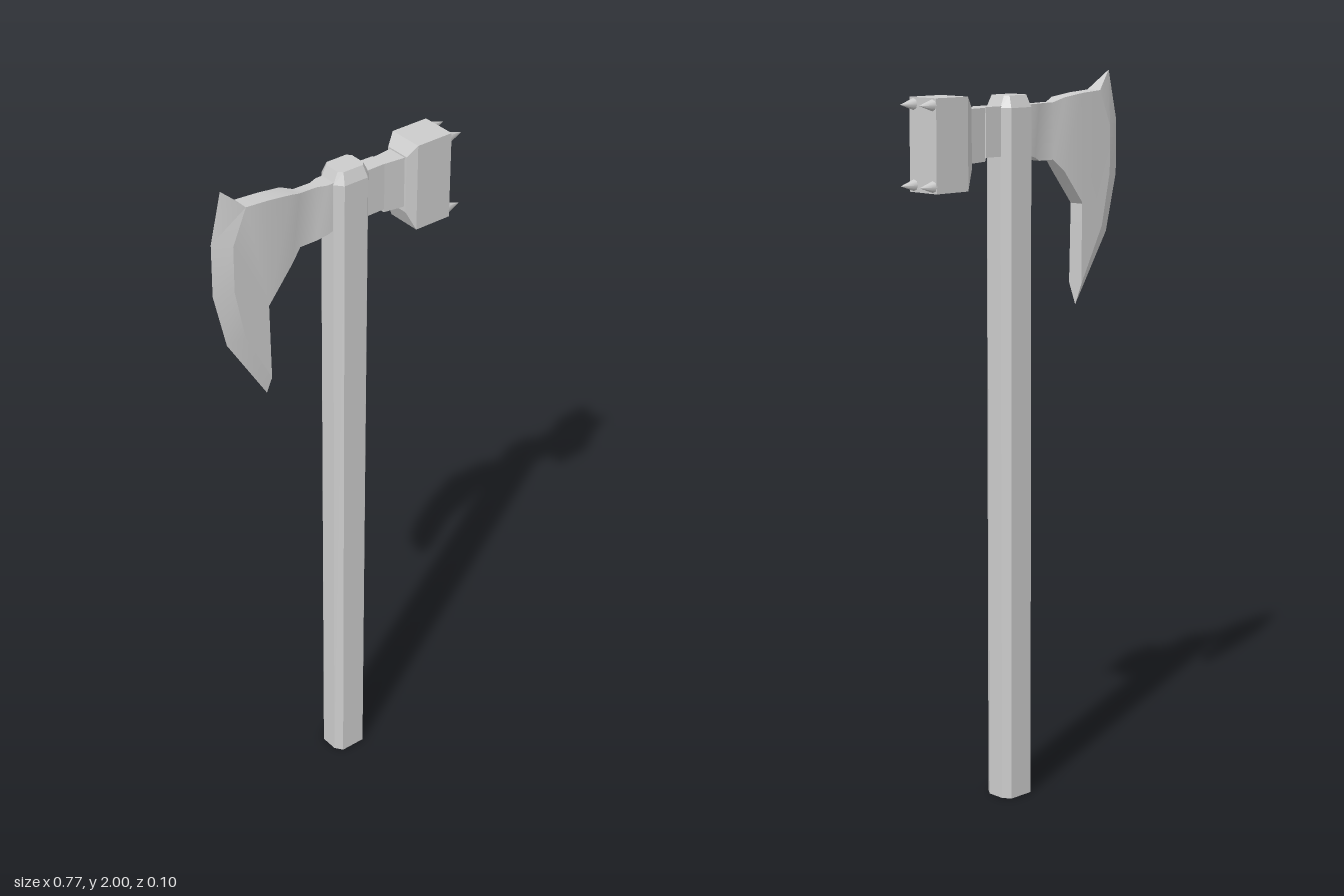
import * as THREE from 'three';
import { toCreasedNormals } from 'three/addons/utils/BufferGeometryUtils.js';

const flat = new THREE.MeshStandardMaterial({ color: 0xcccccc, flatShading: true });
const smooth = new THREE.MeshStandardMaterial({ color: 0xcccccc });

// Geometry from a list of polygons (each fanned from its first corner)
function fromPolygons(polys) {
  const pos = [];
  for (const p of polys) {
    for (let i = 1; i < p.length - 1; i++) pos.push(...p[0], ...p[i], ...p[i + 1]);
  }
  const g = new THREE.BufferGeometry();
  g.setAttribute('position', new THREE.Float32BufferAttribute(pos, 3));
  g.computeVertexNormals();
  return g;
}

// Closed skin over rings that run counter-clockwise about the loft direction
function loft(rings) {
  const polys = [[...rings[0]].reverse(), rings[rings.length - 1]];
  for (let r = 0; r < rings.length - 1; r++) {
    const a = rings[r], b = rings[r + 1];
    a.forEach((p, i) => {
      const j = (i + 1) % a.length;
      polys.push([p, a[j], b[j], b[i]]);
    });
  }
  return fromPolygons(polys);
}

function add(group, name, geometry, material) {
  const mesh = new THREE.Mesh(geometry, material);
  mesh.name = name;
  group.add(mesh);
  return mesh;
}

// Chamfered rectangle at height y: half sizes hx, hz and the half lengths of the flats
function octagon(y, hx, hz, fx, fz) {
  const cx = 0.031;
  return [[hx, fz], [hx, -fz], [fx, -hz], [-fx, -hz], [-hx, -fz], [-hx, fz], [-fx, hz], [fx, hz]]
    .map(([x, z]) => [cx + x, y, z]);
}

// Rectangle across the hammer arm at x
const section = (x, top, bottom, t) => [[x, top, -t], [x, top, t], [x, bottom, t], [x, bottom, -t]];

function bladeGeometry() {
  // Neck stations from the handle outwards: x top, y top, x bottom, y bottom, half thickness
  const neck = [
    [0, 1.92, 0, 1.79, 0.024], [-0.043, 1.92, -0.043, 1.778, 0.024],
    [-0.07, 1.92, -0.07, 1.767, 0.014], [-0.122, 1.921, -0.122, 1.767, 0.014],
    [-0.155, 1.933, -0.155, 1.735, 0.024], [-0.225, 1.942, -0.23, 1.64, 0.024],
  ];
  const top = neck.map(([x, y, , , t]) => [x, y, t]);
  const bottom = neck.map(([, , x, y, t]) => [x, y, t]);
  // Start of the bevel and the sharp edge, from the upper tip to the lower horn
  const bevel = [[-0.294, 1.947], [-0.335, 1.85], [-0.335, 1.72], [-0.305, 1.575], [-0.225, 1.42]]
    .map(([x, y]) => [x, y, 0.024]);
  const edge = [[-0.353, 2], [-0.385, 1.862], [-0.385, 1.714], [-0.347, 1.555], [-0.225, 1.36]]
    .map(([x, y]) => [x, y, 0]);

  // Front side: neck panels, beard, bevel
  const front = [[bottom[5], top[5], ...bevel]];
  for (let i = 0; i < 5; i++) front.push([top[i], top[i + 1], bottom[i + 1], bottom[i]]);
  for (let i = 0; i < 4; i++) front.push([bevel[i], edge[i], edge[i + 1], bevel[i + 1]]);

  const mirror = ([x, y, z]) => [x, y, -z];
  const polys = [...front, ...front.map((p) => p.map(mirror).reverse())];

  // Rims joining the front to the back along the top and the underside
  const rims = [[...top, bevel[0], edge[0]], [edge[4], bevel[4], ...[...bottom].reverse()]];
  for (const path of rims) {
    for (let i = 0; i < path.length - 1; i++) {
      const p = path[i], q = path[i + 1];
      const wall = [p];
      if (p[2] > 0) wall.push(mirror(p));
      wall.push(mirror(q));
      if (q[2] > 0) wall.push(q);
      polys.push(wall);
    }
  }
  return toCreasedNormals(fromPolygons(polys), 0.4);
}

export function createModel() {
  const model = new THREE.Group();
  model.name = 'battleAxe';

  // Eight-sided handle with a bevelled top
  add(model, 'handle', loft([
    octagon(0, 0.053, 0.047, 0.037, 0.025),
    octagon(1.915, 0.056, 0.047, 0.037, 0.025),
    octagon(1.947, 0.041, 0.034, 0.031, 0.023),
  ]), flat);

  add(model, 'axeBlade', bladeGeometry(), smooth);

  // Arm and hammer block on the other side
  add(model, 'hammerArm', loft([
    section(0.03, 1.92, 1.788, 0.027), section(0.14, 1.92, 1.788, 0.025),
    section(0.141, 1.918, 1.778, 0.023), section(0.205, 1.918, 1.776, 0.03),
  ]), flat);
  add(model, 'hammerHead', loft([
    section(0.202, 1.922, 1.762, 0.037), section(0.228, 1.952, 1.708, 0.051),
    section(0.339, 1.952, 1.708, 0.051),
  ]), flat);

  // Four spikes at the corners of the striking face
  const spikes = new THREE.Group();
  spikes.name = 'spikes';
  model.add(spikes);
  const cone = new THREE.ConeGeometry(0.016, 0.048, 8).rotateZ(-Math.PI / 2);
  for (const y of [1.934, 1.726]) {
    for (const z of [-0.036, 0.036]) {
      add(spikes, 'spike', cone, smooth).position.set(0.361, y, z);
    }
  }
  return model;
}
